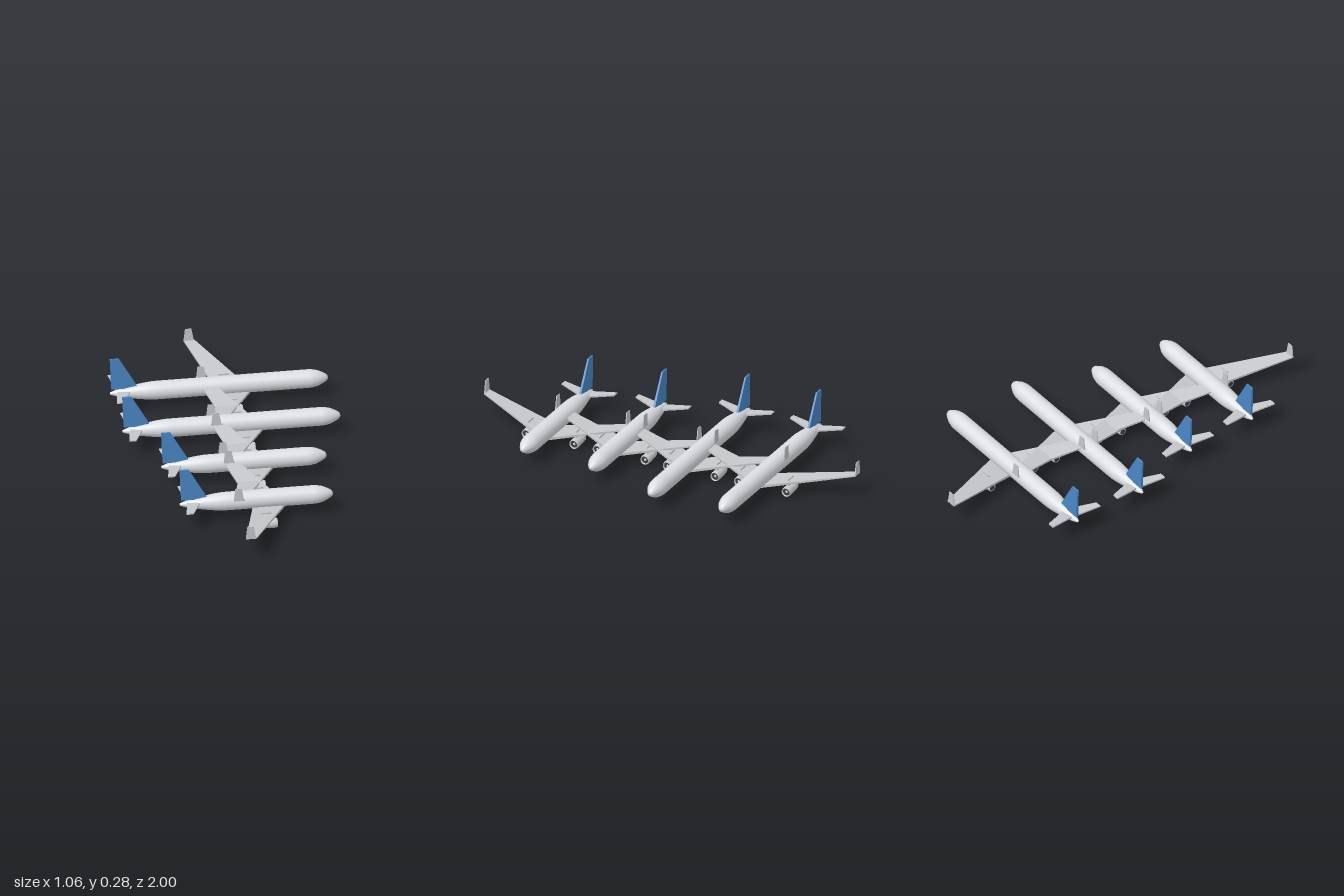
import * as THREE from 'three';

const mat = (name, color) => {
  const m = new THREE.MeshStandardMaterial({ color });
  m.name = name;
  return m;
};

// Closed flat-faced solid between two four-cornered rings
function loft(a, b) {
  const ring = [...a, ...b].map(p => new THREE.Vector3(...p));
  const quads = [[3, 2, 1, 0], [4, 5, 6, 7]];
  for (let i = 0; i < 4; i++) {
    const j = (i + 1) % 4;
    quads.push([i, j, j + 4, i + 4]);
  }
  const tris = quads.flatMap(([p, q, r, s]) => [[p, q, r], [p, r, s]]);
  // A negative volume means the faces point inwards
  let volume = 0;
  const cross = new THREE.Vector3();
  for (const [p, q, r] of tris) volume += ring[p].dot(cross.crossVectors(ring[q], ring[r]));
  const points = tris.flatMap(([p, q, r]) => (volume > 0 ? [p, q, r] : [p, r, q]).map(i => ring[i]));
  const geo = new THREE.BufferGeometry().setFromPoints(points);
  geo.computeVertexNormals();
  return geo;
}

// Rectangular rings: across a wing (constant z) and across a fin (constant y)
const wingRing = (x0, x1, y, z, t) =>
  [[x0, y - t / 2, z], [x1, y - t / 2, z], [x1, y + t / 2, z], [x0, y + t / 2, z]];
const finRing = (x0, x1, y, z, t) =>
  [[x0, y, z - t / 2], [x1, y, z - t / 2], [x1, y, z + t / 2], [x0, y, z + t / 2]];

// Turned body along the x axis, from [x, radius] pairs running tail to nose
const turned = (profile, segments) =>
  new THREE.LatheGeometry(profile.map(([x, r]) => new THREE.Vector2(r, x)), segments).rotateZ(-Math.PI / 2);

export function createModel() {
  const model = new THREE.Group();
  model.name = 'airlinerFleet';

  const hull = mat('hull white', 0xdadde2);
  const wingGrey = mat('wing grey', 0xc5c8cc);
  const blue = mat('tail blue', 0x4a86c6);
  const engineGrey = mat('engine grey', 0xc8cace);
  const dark = mat('intake dark', 0x3c3e42);

  const add = (parent, name, geo, material, x = 0, y = 0, z = 0) => {
    const mesh = new THREE.Mesh(geo, material);
    mesh.name = name;
    mesh.position.set(x, y, z);
    parent.add(mesh);
  };

  function airliner(tail, nose, wingX) {
    const plane = new THREE.Group();
    plane.name = 'airliner';

    // Fuselage: tail cone, straight tube, blunt nose
    add(plane, 'fuselage', turned([
      [tail, 0], [tail + 0.002, 0.006], [tail + 0.03, 0.016], [tail + 0.08, 0.027], [tail + 0.13, 0.035],
      [tail + 0.17, 0.041], [tail + 0.21, 0.0445], [tail + 0.24, 0.045],
      [nose - 0.095, 0.045], [nose - 0.075, 0.0435], [nose - 0.05, 0.038], [nose - 0.028, 0.028],
      [nose - 0.01, 0.018], [nose - 0.002, 0.009], [nose, 0],
    ], 32), hull, 0, 0.092);

    // Fin
    add(plane, 'tailFin', loft(
      finRing(0.008, 0.137, 0.115, 0, 0.012), finRing(0, 0.044, 0.278, 0, 0.008)), blue, tail);

    for (const s of [1, -1]) {
      // Tailplane
      add(plane, 'tailplane', loft(
        wingRing(0.037, 0.104, 0.099, 0, 0.01),
        wingRing(0.012, 0.046, 0.113, s * 0.141, 0.006)), wingGrey, tail);

      // Main wing and winglet
      add(plane, 'wing', loft(
        wingRing(-0.016, 0.144, 0.052, 0, 0.014),
        wingRing(-0.118, -0.066, 0.113, s * 0.427, 0.006)), wingGrey, wingX);
      add(plane, 'winglet', loft(
        finRing(-0.118, -0.068, 0.112, s * 0.424, 0.006),
        finRing(-0.111, -0.08, 0.177, s * 0.425, 0.004)), wingGrey, wingX);

      // Engine under the wing
      const engine = new THREE.Group();
      engine.name = 'engine';
      engine.position.set(wingX, 0.0245, s * 0.128);
      add(engine, 'nacelle', turned([
        [-0.018, 0], [-0.018, 0.019], [0.01, 0.0225], [0.05, 0.0245], [0.07, 0.0245],
        [0.08, 0.0225], [0.082, 0.0205], [0.078, 0.019], [0.07, 0.0185],
      ], 24), engineGrey);
      add(engine, 'fanFace', new THREE.CircleGeometry(0.019, 24).rotateY(Math.PI / 2), dark, 0.072);
      add(engine, 'fanHub', new THREE.ConeGeometry(0.007, 0.009, 12).rotateZ(-Math.PI / 2), engineGrey, 0.0767);
      add(engine, 'exhaust', new THREE.CircleGeometry(0.014, 24).rotateY(-Math.PI / 2), dark, -0.0185);
      add(engine, 'pylon', new THREE.BoxGeometry(0.05, 0.042, 0.006), wingGrey, 0.03, 0.038);
      plane.add(engine);
    }
    return plane;
  }

  // Four aircraft side by side: [tail x, nose x, wing shift, z]
  for (const [tail, nose, wingX, z] of [
    [-0.53, 0.528, 0.013, -0.573],
    [-0.53, 0.528, 0.013, -0.191],
    [-0.402, 0.4, 0.002, 0.191],
    [-0.373, 0.371, 0, 0.573],
  ]) {
    const plane = airliner(tail, nose, wingX);
    plane.position.z = z;
    model.add(plane);
  }
  return model;
}
